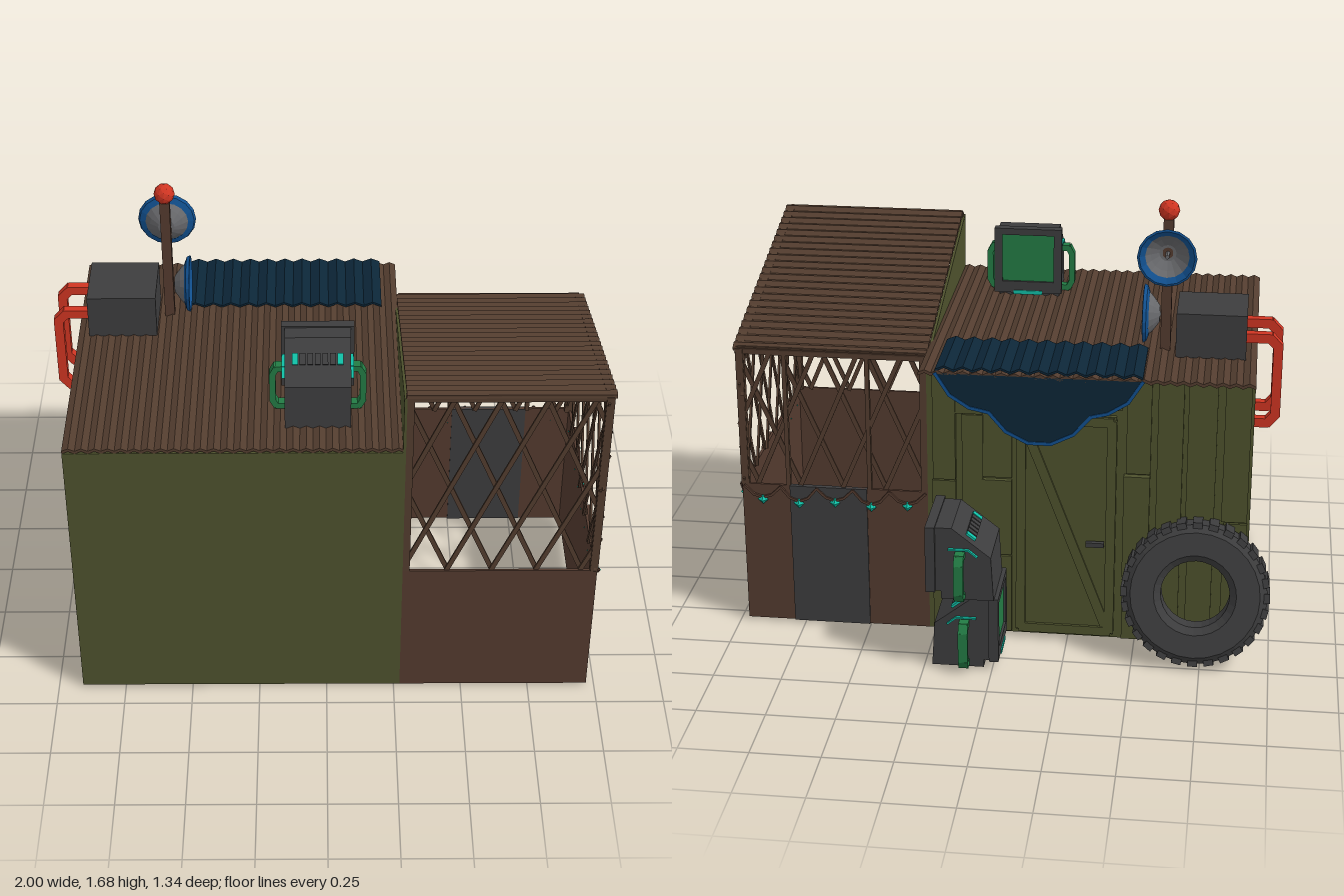
import * as THREE from 'three';

const mat = (name, color) => {
  const m = new THREE.MeshStandardMaterial({ color, flatShading: true, side: THREE.DoubleSide });
  m.name = name;
  return m;
};
const M = {
  green: mat('olive wall', 0x4e522d), wood: mat('brown wood', 0x543b2f), roof: mat('roof brown', 0x533d2f),
  grey: mat('dark grey', 0x3d3d3e), red: mat('red', 0xd03522), blue: mat('blue', 0x11508f),
  navy: mat('navy', 0x0c2638), screen: mat('screen green', 0x237c45), cyan: mat('cyan', 0x10bfa6),
  dish: mat('dish grey', 0x68696c),
};
const V = (x, y, z) => new THREE.Vector3(x, y, z);

function add(parent, name, geo, material, x = 0, y = 0, z = 0) {
  const m = new THREE.Mesh(geo, material);
  m.name = name;
  m.position.set(x, y, z);
  parent.add(m);
  return m;
}
// Box given by its minimum and maximum corners
function box(parent, name, material, x0, x1, y0, y1, z0, z1) {
  return add(parent, name, new THREE.BoxGeometry(x1 - x0, y1 - y0, z1 - z0), material,
    (x0 + x1) / 2, (y0 + y1) / 2, (z0 + z1) / 2);
}
// Square bar between two points
function bar(parent, name, material, a, b, t, d = t) {
  const dir = b.clone().sub(a);
  const m = add(parent, name, new THREE.BoxGeometry(t, dir.length() + t * 0.35, d), material);
  m.position.copy(a).lerp(b, 0.5);
  m.quaternion.setFromUnitVectors(V(0, 1, 0), dir.normalize());
  return m;
}
function bars(parent, name, material, pts, t, d = t) {
  for (let i = 1; i < pts.length; i++) bar(parent, name, material, pts[i - 1], pts[i], t, d);
}
function group(parent, name, x = 0, y = 0, z = 0) {
  const g = new THREE.Group();
  g.name = name;
  g.position.set(x, y, z);
  parent.add(g);
  return g;
}
// Sheet with ridges running along local z
function corrugated(w, d, ridges, amp, t = 0.012) {
  const geo = new THREE.BoxGeometry(w, t, d, ridges * 2, 1, 1);
  const p = geo.attributes.position;
  for (let i = 0; i < p.count; i++) {
    const k = Math.round((p.getX(i) / w + 0.5) * ridges * 2);
    p.setY(i, p.getY(i) + (k % 2 ? amp : 0));
  }
  const flat = geo.toNonIndexed();
  flat.computeVertexNormals();
  return flat;
}
// Diamond lattice, width w, top edge falling from h0 to h1
function lattice(parent, name, w, h0, h1) {
  const g = group(parent, name);
  const planes = [[1, 0, 0], [-1, 0, w], [0, 1, 0], [(h1 - h0) / w, -1, h0]];
  const slope = 2.35, top = Math.max(h0, h1);
  for (const s of [1, -1]) for (let u = -0.48; u < w + 0.5; u += 0.16) {
    const a = [u, 0], d = [s * top / slope, top];
    let t0 = 0, t1 = 1;
    for (const [px, py, c] of planes) {
      const f = px * a[0] + py * a[1] + c, e = px * d[0] + py * d[1];
      if (Math.abs(e) < 1e-9) { if (f < 0) t1 = -1; }
      else if (e > 0) t0 = Math.max(t0, -f / e);
      else t1 = Math.min(t1, -f / e);
    }
    if (t1 - t0 < 0.03) continue;
    const at = (t) => V(a[0] + d[0] * t, a[1] + d[1] * t, s * 0.004);
    bar(g, 'latticeSlat', M.roof, at(t0), at(t1), 0.017, 0.008);
  }
  bars(g, 'latticeFrame', M.roof, [V(0.012, 0, 0), V(0.012, h0, 0), V(w - 0.012, h1, 0), V(w - 0.012, 0, 0)], 0.03, 0.025);
  return g;
}
// Sagging wire with bulbs, along local x
function garland(parent, w, n) {
  const g = group(parent, 'garland');
  for (let i = 0; i < n; i++) {
    const s = w / n, x = i * s, low = i % 2 ? 0.055 : 0.045;
    bars(g, 'wire', M.wood, [V(x, 0, 0), V(x + s * 0.25, -low * 0.75, 0), V(x + s * 0.5, -low, 0),
      V(x + s * 0.75, -low * 0.75, 0), V(x + s, 0, 0)], 0.009);
    add(g, 'bulb', new THREE.OctahedronGeometry(0.02), M.cyan, x + s * 0.5, -low - 0.008, 0);
  }
  return g;
}
// Old screen unit facing local +z, standing on y = 0
function monitor(parent, x, y, z, turn) {
  const g = group(parent, 'monitor', x, y, z);
  g.rotation.y = turn;
  const side = new THREE.Shape([[0.11, 0.03], [0.11, 0.28], [0.03, 0.28], [-0.11, 0.17], [-0.12, 0.0], [0.07, 0], [0.07, 0.03]]
    .map(([a, b]) => new THREE.Vector2(-a, b)));
  const body = new THREE.ExtrudeGeometry(side, { depth: 0.23, bevelEnabled: false });
  body.translate(0, 0, -0.115).rotateY(Math.PI / 2);
  add(g, 'monitorBody', body, M.grey);
  for (const s of [-1, 1]) {
    box(g, 'bezelSide', M.grey, s * 0.113 - 0.015, s * 0.113 + 0.015, 0.03, 0.285, 0.09, 0.125);
    bars(g, 'monitorHandle', M.screen, [V(s * 0.11, 0.18, 0), V(s * 0.145, 0.18, 0), V(s * 0.158, 0.155, 0),
      V(s * 0.158, 0.045, 0), V(s * 0.145, 0.02, 0), V(s * 0.11, 0.02, 0)], 0.022, 0.035);
    bars(g, 'sideLight', M.cyan, [V(s * 0.117, 0.175, -0.06), V(s * 0.117, 0.2, -0.03), V(s * 0.117, 0.2, 0.04)], 0.016, 0.006);
  }
  box(g, 'bezelTop', M.grey, -0.1, 0.1, 0.26, 0.285, 0.09, 0.125);
  box(g, 'bezelBottom', M.grey, -0.1, 0.1, 0.03, 0.075, 0.09, 0.125);
  box(g, 'screen', M.screen, -0.098, 0.098, 0.075, 0.26, 0.11, 0.116);
  box(g, 'statusLight', M.cyan, -0.055, 0.055, 0.025, 0.04, 0.122, 0.129);
  // Vent slots on the sloped back
  for (let i = 0; i < 7; i++) {
    const lit = i === 0 || i === 6;
    const slot = box(g, 'ventSlot', lit ? M.cyan : M.grey, -0.088 + i * 0.026, -0.068 + i * 0.026, 0.232, 0.24, -0.055, -0.015);
    slot.rotation.x = -0.66;
  }
  return g;
}
// Bowl opening along local +y
function dish(parent, x, y, z) {
  const g = group(parent, 'dish', x, y, z);
  const lathe = (pts) => new THREE.LatheGeometry(pts.map(([a, b]) => new THREE.Vector2(a, b)), 16);
  add(g, 'dishBowl', lathe([[0, 0], [0.03, 0.003], [0.06, 0.025], [0.08, 0.045]]), M.dish);
  add(g, 'dishRim', lathe([[0.078, 0.045], [0.098, 0.062], [0.106, 0.06], [0.1, 0.048], [0.078, 0.04]]), M.blue);
  add(g, 'dishFeed', new THREE.CylinderGeometry(0.008, 0.008, 0.05, 6), M.dish, 0, 0.025, 0);
  return g;
}

export function createModel() {
  const root = new THREE.Group();
  root.name = 'shack';

  // Hut and annex shells, open underneath
  box(root, 'hutFront', M.green, -0.91, 0.27, 0, 1.1, 0.65, 0.66);
  box(root, 'hutBack', M.green, -0.91, 0.27, 0, 1.1, -0.31, -0.3);
  box(root, 'hutSide', M.green, -0.91, -0.9, 0, 1.1, -0.31, 0.66);
  const gable = new THREE.Shape([[-0.66, 0], [0.31, 0], [0.31, 1.085], [-0.66, 1.33]].map(([a, b]) => new THREE.Vector2(a, b)));
  const gableGeo = new THREE.ExtrudeGeometry(gable, { depth: 0.01, bevelEnabled: false }).rotateY(Math.PI / 2);
  add(root, 'gableWall', gableGeo, M.green, 0.262, 0, 0);
  box(root, 'annexInnerWall', M.wood, 0.272, 0.277, 0, 0.56, -0.3, 0.65);
  box(root, 'gableStripe', M.navy, 0.272, 0.278, 1.082, 1.098, -0.16, 0.64);
  box(root, 'annexFront', M.wood, 0.272, 0.97, 0, 0.56, 0.65, 0.66);
  box(root, 'annexSide', M.wood, 0.96, 0.97, 0, 0.56, -0.31, 0.66);
  box(root, 'annexBack', M.wood, 0.272, 0.97, 0, 0.56, -0.31, -0.3);
  box(root, 'annexDoor', M.grey, 0.5, 0.79, 0, 0.56, -0.316, -0.296);

  // Lattice walls
  lattice(root, 'frontLattice', 0.7, 0.77, 0.77).position.set(0.27, 0.56, 0.647);
  lattice(root, 'backLattice', 0.7, 0.53, 0.53).position.set(0.27, 0.56, -0.297);
  const sideLattice = lattice(root, 'sideLattice', 0.97, 0.77, 0.53);
  sideLattice.position.set(0.957, 0.56, 0.66);
  sideLattice.rotation.y = Math.PI / 2;
  for (const x of [0.49, 0.795]) box(root, 'doorPost', M.roof, x - 0.008, x + 0.008, 0.56, 1.08, -0.31, -0.29);
  const sideLights = garland(root, 0.95, 8);
  sideLights.position.set(0.976, 0.555, 0.65);
  sideLights.rotation.y = Math.PI / 2;
  garland(root, 0.68, 5).position.set(0.28, 0.555, -0.318);

  // Roofs and awning
  add(root, 'hutRoof', corrugated(1.18, 1.16, 26, 0.01), M.roof, -0.32, 1.105, 0.08);
  const slope = Math.atan2(0.245, 0.97);
  const annexRoof = group(root, 'annexRoof', 0.625, 1.215, 0.175);
  annexRoof.rotation.x = -slope;
  add(annexRoof, 'annexRoofSheet', corrugated(1.0, 0.71, 22, 0.01), M.roof).rotation.y = Math.PI / 2;
  add(root, 'awningSheet', corrugated(0.73, 0.3, 11, 0.014, 0.008), M.navy, -0.155, 1.121, -0.35);
  const edge = [[-0.52, 1.11], [-0.47, 1.03], [-0.4, 0.985], [-0.34, 0.97], [-0.28, 0.9], [-0.2, 0.86], [-0.12, 0.86],
    [-0.04, 0.9], [0.02, 0.97], [0.09, 0.985], [0.16, 1.03], [0.21, 1.11]];
  add(root, 'awningCloth', new THREE.ShapeGeometry(new THREE.Shape(edge.map(([a, b]) => new THREE.Vector2(a, b)))), M.navy, 0, 0, -0.5);
  bars(root, 'awningHem', M.blue, edge.map(([a, b]) => V(a, b, -0.5)), 0.012, 0.007);

  // Patchwork planks on the back wall
  let seed = 7;
  const rnd = () => (seed = (seed * 16807) % 2147483647) / 2147483647;
  for (const x of [-0.9, -0.78, -0.66, -0.545, -0.04, 0.065, 0.165]) {
    let y = 0.01;
    while (y < 1.05) {
      const top = y + 0.22 + rnd() * 0.4 > 0.92 ? 1.09 : y + 0.22 + rnd() * 0.3;
      box(root, 'plank', M.green, x, x + 0.075 + rnd() * 0.035, y, top - 0.008, -0.318 - rnd() * 0.018, -0.305);
      y = top;
    }
  }
  // Hut door with brace, hinges and handle
  const door = group(root, 'hutDoor', -0.24, 0, -0.322);
  box(door, 'doorPanel', M.green, -0.18, 0.18, 0.02, 0.9, -0.004, 0.015);
  bars(door, 'doorFrame', M.green, [V(-0.165, 0.035, 0), V(-0.165, 0.88, 0), V(0.165, 0.88, 0), V(0.165, 0.035, 0), V(-0.165, 0.035, 0)], 0.035, 0.03);
  bar(door, 'doorBrace', M.green, V(-0.15, 0.06, 0), V(0.15, 0.85, 0), 0.035, 0.026);
  box(door, 'doorLintel', M.green, -0.2, 0.2, 0.93, 0.99, -0.015, 0.015);
  bar(door, 'doorHandle', M.grey, V(-0.14, 0.4, -0.025), V(-0.08, 0.4, -0.025), 0.018);

  // Leaning tyre
  const tyre = group(root, 'tyre', -0.725, 0.265, -0.415);
  tyre.rotation.x = Math.PI / 2 + 0.2;
  const ring = [[0.125, -0.04], [0.15, -0.06], [0.235, -0.06], [0.262, -0.04], [0.262, 0.04], [0.235, 0.06], [0.15, 0.06], [0.125, 0.04], [0.125, -0.04]];
  add(tyre, 'tyreRing', new THREE.LatheGeometry(ring.map(([a, b]) => new THREE.Vector2(a, b)), 28), M.grey);
  for (let i = 0; i < 28; i++) {
    const a = (i / 28) * Math.PI * 2;
    const tread = add(tyre, 'tread', new THREE.BoxGeometry(0.022, 0.1, 0.035), M.grey, Math.cos(a) * 0.259, 0, Math.sin(a) * 0.259);
    tread.rotation.y = -a;
  }

  // Monitors: one on the roof, two stacked behind
  monitor(root, -0.03, 1.11, 0.415, Math.PI);
  monitor(root, 0.1, 0, -0.475, -Math.PI / 2);
  monitor(root, 0.11, 0.285, -0.49, Math.PI / 2).scale.set(1.08, 1, 1);

  // Roof unit with pipes
  box(root, 'roofUnit', M.grey, -0.87, -0.62, 1.115, 1.28, -0.26, -0.02);
  for (const z of [-0.22, -0.065]) {
    bars(root, 'pipe', M.red, [V(-0.87, 1.19, z), V(-0.955, 1.19, z), V(-0.983, 1.16, z), V(-0.983, 0.9, z),
      V(-0.955, 0.867, z), V(-0.905, 0.867, z)], 0.034);
  }

  // Mast with beacon and dishes
  box(root, 'mast', M.wood, -0.598, -0.562, 1.1, 1.62, -0.188, -0.152);
  add(root, 'beacon', new THREE.IcosahedronGeometry(0.038, 1), M.red, -0.58, 1.633, -0.17);
  dish(root, -0.58, 1.48, -0.186).rotation.x = -Math.PI / 2;
  dish(root, -0.56, 1.245, -0.17).rotation.z = -Math.PI / 2;
  return root;
}
